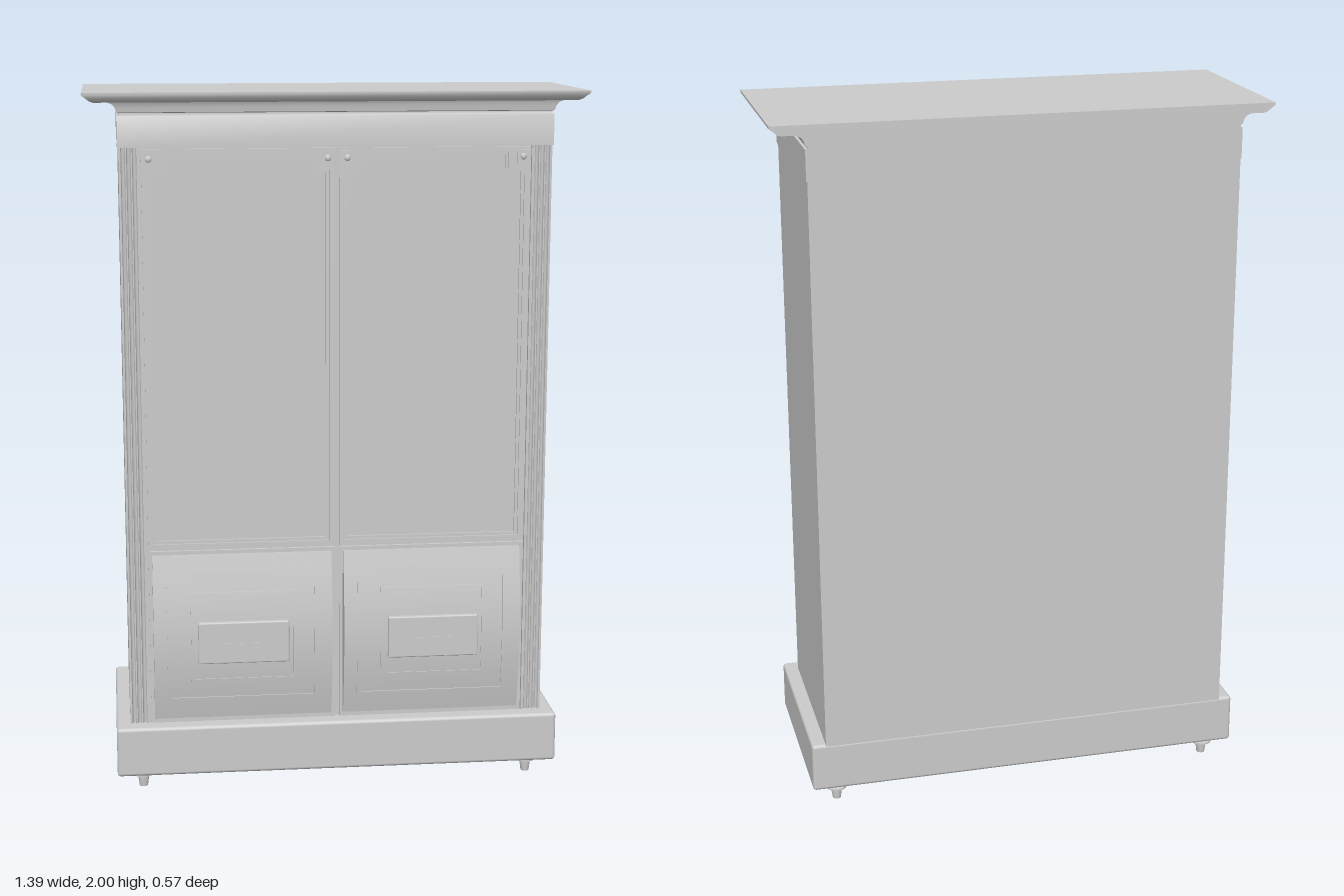
import * as THREE from 'three';
import { toCreasedNormals } from 'three/addons/utils/BufferGeometryUtils.js';
import { RoundedBoxGeometry } from 'three/addons/geometries/RoundedBoxGeometry.js';

const BACK = -0.285, FRONT = 0.235, FLOOR = 0.224;

export function createModel() {
  const root = new THREE.Group();
  const mat = new THREE.MeshStandardMaterial({ color: 0xcccccc });
  const add = (name, geo, parent = root) => {
    const mesh = new THREE.Mesh(geo, mat);
    mesh.name = name;
    parent.add(mesh);
    return mesh;
  };
  // Box given by its limits
  const block = (x0, x1, y0, y1, z0, z1) =>
    new THREE.BoxGeometry(x1 - x0, y1 - y0, z1 - z0)
      .translate((x0 + x1) / 2, (y0 + y1) / 2, (z0 + z1) / 2);

  // Carcass: plan outline with fluted pilasters beside the door recess
  const side = [[0.6, BACK], [0.6, FRONT]];
  for (let i = 0; i < 3; i++) {
    const c = 0.588 - i * 0.0155;
    for (let k = 0; k <= 6; k++) {
      const a = (k / 6) * Math.PI;
      side.push([c + 0.006 * Math.cos(a), FRONT - 0.009 * Math.sin(a)]);
    }
  }
  side.push([0.543, FRONT], [0.543, FLOOR]);
  const plan = [...side, ...side.map(([x, z]) => [-x, z]).reverse()];
  const carcass = new THREE.ExtrudeGeometry(
    new THREE.Shape(plan.map(([x, z]) => new THREE.Vector2(x, -z))),
    { depth: 1.66, bevelEnabled: false });
  carcass.rotateX(-Math.PI / 2).translate(0, 0.195, 0);
  add('carcass', toCreasedNormals(carcass, 0.7));

  // Plinth with softened edges
  add('plinth', new RoundedBoxGeometry(1.28, 0.145, 0.566, 3, 0.01).translate(0, 0.1275, -0.002));

  // Cornice: rectangular sections [half width, front z, height], flat at the back
  const sections = [[0.603, 0.24, 1.85], [0.603, 0.24, 1.935], [0.597, 0.238, 1.938], [0.597, 0.238, 1.944],
    [0.603, 0.243, 1.946], [0.606, 0.245, 1.957], [0.613, 0.247, 1.967], [0.626, 0.25, 1.973],
    [0.665, 0.256, 1.973], [0.675, 0.264, 1.977], [0.685, 0.27, 1.985], [0.696, 0.275, 1.993], [0.696, 0.275, 2]];
  const pos = [], idx = [];
  for (const [w, z, y] of sections) pos.push(-w, y, BACK, -w, y, z, w, y, z, w, y, BACK);
  for (let i = 0; i < sections.length - 1; i++)
    for (let k = 0; k < 4; k++) {
      const a = i * 4 + k, b = i * 4 + (k + 1) % 4;
      idx.push(a, b, b + 4, a, b + 4, a + 4);
    }
  const t = (sections.length - 1) * 4;
  idx.push(0, 2, 1, 0, 3, 2, t, t + 1, t + 2, t, t + 2, t + 3);
  const cornice = new THREE.BufferGeometry();
  cornice.setAttribute('position', new THREE.Float32BufferAttribute(pos, 3));
  cornice.setIndex(idx);
  add('cornice', toCreasedNormals(cornice, 0.6));

  // Rectangle whose two top corners are stepped inwards
  const stepped = (x0, x1, y0, y1, n) => [[x0, y0], [x1, y0], [x1, y1 - n], [x1 - n, y1 - n],
    [x1 - n, y1], [x0 + n, y1], [x0 + n, y1 - n], [x0, y1 - n]].map(p => new THREE.Vector2(...p));
  const frame = (outer, inner, depth) => {
    const s = new THREE.Shape(outer);
    s.holes.push(new THREE.Path(inner));
    return new THREE.ExtrudeGeometry(s, { depth, bevelEnabled: false }).translate(0, 0, FLOOR);
  };
  const rect = (x0, x1, y0, y1) =>
    [[x0, y0], [x1, y0], [x1, y1], [x0, y1]].map(p => new THREE.Vector2(...p));

  // Slab whose front follows the bowed lower door
  const bowZ = y => FRONT + 0.033 * Math.cos(Math.PI * (y - 0.455) / 0.51);
  const bowed = (x0, x1, y0, y1, lift) => {
    const g = new THREE.BoxGeometry(x1 - x0, y1 - y0, 1, 1, 20, 1);
    g.translate((x0 + x1) / 2, (y0 + y1) / 2, 0);
    const p = g.attributes.position;
    for (let i = 0; i < p.count; i++) p.setZ(i, p.getZ(i) > 0 ? bowZ(p.getY(i)) + lift : 0.2);
    g.computeVertexNormals();
    return g;
  };
  const bowedFrame = (name, x0, x1, y0, y1, w, lift, parent) => {
    for (const [a, b] of [[x0, x0 + w], [x1 - w, x1]]) add(name, bowed(a, b, y0, y1, lift), parent);
    for (const [a, b] of [[y0, y0 + w], [y1 - w, y1]]) add(name, bowed(x0 + w, x1 - w, a, b, lift), parent);
  };

  for (const [name, cx] of [['left', 0.273], ['right', -0.273]]) {
    // Upper door: rail frame, stepped inner moulding and corner studs
    const upper = new THREE.Group();
    upper.name = name + 'UpperDoor';
    upper.position.x = cx;
    root.add(upper);
    add('doorFrame', frame(rect(-0.266, 0.266, 0.717, 1.846),
      stepped(-0.25, 0.25, 0.732, 1.832, 0.045), 0.011), upper);
    add('innerMoulding', frame(stepped(-0.25, 0.25, 0.732, 1.832, 0.045),
      stepped(-0.241, 0.241, 0.741, 1.823, 0.045), 0.006), upper);
    for (const s of [-1, 1]) {
      add('cornerTile', block(s * 0.246 - 0.018, s * 0.246 + 0.018, 1.8, 1.838, 0.23, 0.238), upper);
      const stud = add('cornerStud', new THREE.SphereGeometry(0.009, 14, 8), upper);
      stud.position.set(s * 0.246, 1.819, 0.238);
      stud.scale.z = 0.5;
    }

    // Lower door: bowed panel with two mouldings and a raised plaque
    const lower = new THREE.Group();
    lower.name = name + 'LowerDoor';
    lower.position.x = cx;
    root.add(lower);
    add('doorSurround', frame(rect(-0.266, 0.266, 0.2, 0.711), rect(-0.257, 0.257, 0.212, 0.7), 0.009), lower);
    add('bowedPanel', bowed(-0.256, 0.256, 0.213, 0.699, 0), lower);
    bowedFrame('outerMoulding', -0.218, 0.218, 0.265, 0.658, 0.014, 0.004, lower);
    add('innerPanel', bowed(-0.15, 0.15, 0.33, 0.594, 0.003), lower);
    bowedFrame('innerMoulding', -0.15, 0.15, 0.33, 0.594, 0.008, 0.006, lower);
    add('plaque', new RoundedBoxGeometry(0.26, 0.122, 0.04, 2, 0.004).translate(0, 0.449, 0.263), lower);
    add('plaqueRidge', block(-0.073, 0.073, 0.442, 0.448, 0.28, 0.285), lower);
  }

  // Turned feet
  const foot = [[0, 0], [0.012, 0], [0.016, 0.03], [0.016, 0.033], [0.029, 0.035], [0.029, 0.04],
    [0.016, 0.042], [0.02, 0.058]].map(p => new THREE.Vector2(...p));
  for (const x of [-0.565, 0.565])
    for (const z of [-0.235, 0.207])
      add('foot', toCreasedNormals(new THREE.LatheGeometry(foot, 20), 0.6)).position.set(x, 0, z);

  return root;
}
